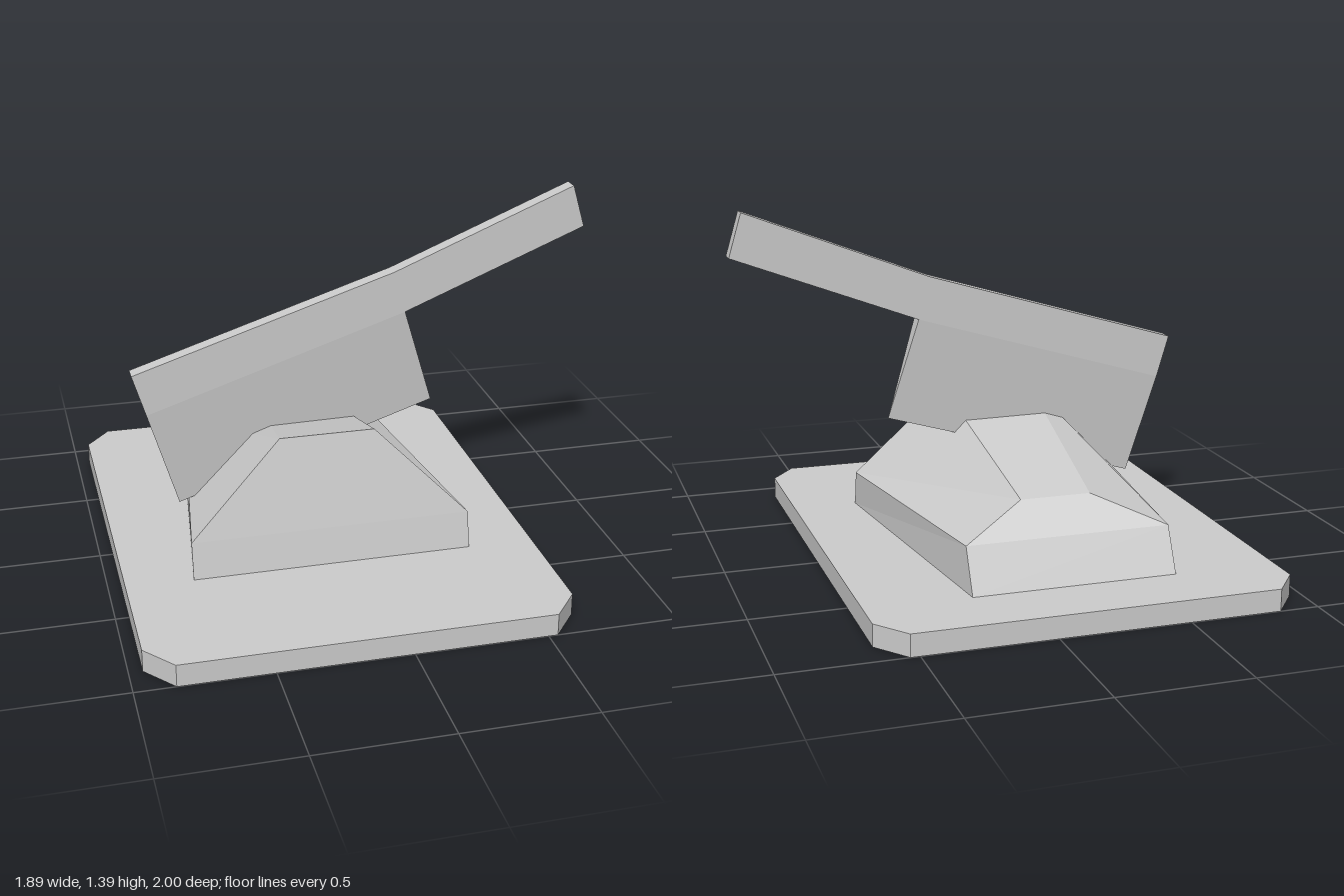
import * as THREE from 'three';

const material = new THREE.MeshStandardMaterial({ color: 0xcccccc, flatShading: true });

// Closed solid through rings of [x, y, z]; rings run counter-clockwise about the direction of travel.
function loft(name, rings) {
  const pos = [];
  const tri = (a, b, c) => pos.push(...a, ...b, ...c);
  const first = rings[0], last = rings[rings.length - 1], n = first.length;
  for (let r = 0; r < rings.length - 1; r++) {
    const a = rings[r], b = rings[r + 1];
    for (let i = 0; i < n; i++) {
      const j = (i + 1) % n;
      tri(a[i], a[j], b[j]);
      tri(a[i], b[j], b[i]);
    }
  }
  for (let i = 1; i < n - 1; i++) {
    tri(first[0], first[i + 1], first[i]);
    tri(last[0], last[i], last[i + 1]);
  }
  const geometry = new THREE.BufferGeometry();
  geometry.setAttribute('position', new THREE.Float32BufferAttribute(pos, 3));
  geometry.computeVertexNormals();
  const mesh = new THREE.Mesh(geometry, material);
  mesh.name = name;
  return mesh;
}

// Board with four cut corners
function makeBoard() {
  const x0 = -0.95, x1 = 0.635, cx = 0.1, cz = 0.125;
  const ring = (y) => [
    [x0 + cx, y, 1], [x1 - cx, y, 1], [x1, y, 1 - cz], [x1, y, cz - 1],
    [x1 - cx, y, -1], [x0 + cx, y, -1], [x0, y, cz - 1], [x0, y, 1 - cz],
  ];
  return loft('cuttingBoard', [ring(0), ring(0.085)]);
}

// Faceted block: each ring has a front edge and a back edge, as [xLeft, xRight, y, z]
function makeBlock() {
  const ring = (f, b) => [
    [f[0], f[2], f[3]], [f[1], f[2], f[3]], [b[1], b[2], b[3]], [b[0], b[2], b[3]],
  ];
  return loft('meatBlock', [
    ring([-0.695, 0.38, 0.085, 0.433], [-0.55, 0.235, 0.085, -0.745]),
    ring([-0.695, 0.38, 0.225, 0.407], [-0.55, 0.235, 0.25, -0.665]),
    ring([-0.34, 0.025, 0.58, 0.333], [-0.275, -0.005, 0.37, -0.565]),
  ]);
}

// Cleaver: a bent bar forms the spine and handle, a wedge below it the cutting edge
function makeCleaver() {
  const half = 0.032;
  const at = ([x, y], side) => [x, y, 0.051 - 0.043 * x + side * half];
  const bar = (low, top) => [at(low, 1), at(low, -1), at(top, -1), at(top, 1)];
  const wedge = (edge, mid) => [at(edge, 0), at(mid, -1), at(mid, 1)];
  const tipMid = [-0.805, 0.63], heelMid = [0.215, 0.94];
  const cleaver = new THREE.Group();
  cleaver.name = 'cleaver';
  cleaver.add(
    loft('spineAndHandle', [
      bar(tipMid, [-0.855, 0.795]),
      bar(heelMid, [0.17, 1.105]),
      bar([0.945, 1.22], [0.895, 1.387]),
    ]),
    loft('blade', [wedge([-0.688, 0.238], tipMid), wedge([0.335, 0.55], heelMid)]),
  );
  return cleaver;
}

export function createModel() {
  const model = new THREE.Group();
  model.name = 'cleaverOnBoard';
  model.add(makeBoard(), makeBlock(), makeCleaver());
  return model;
}
